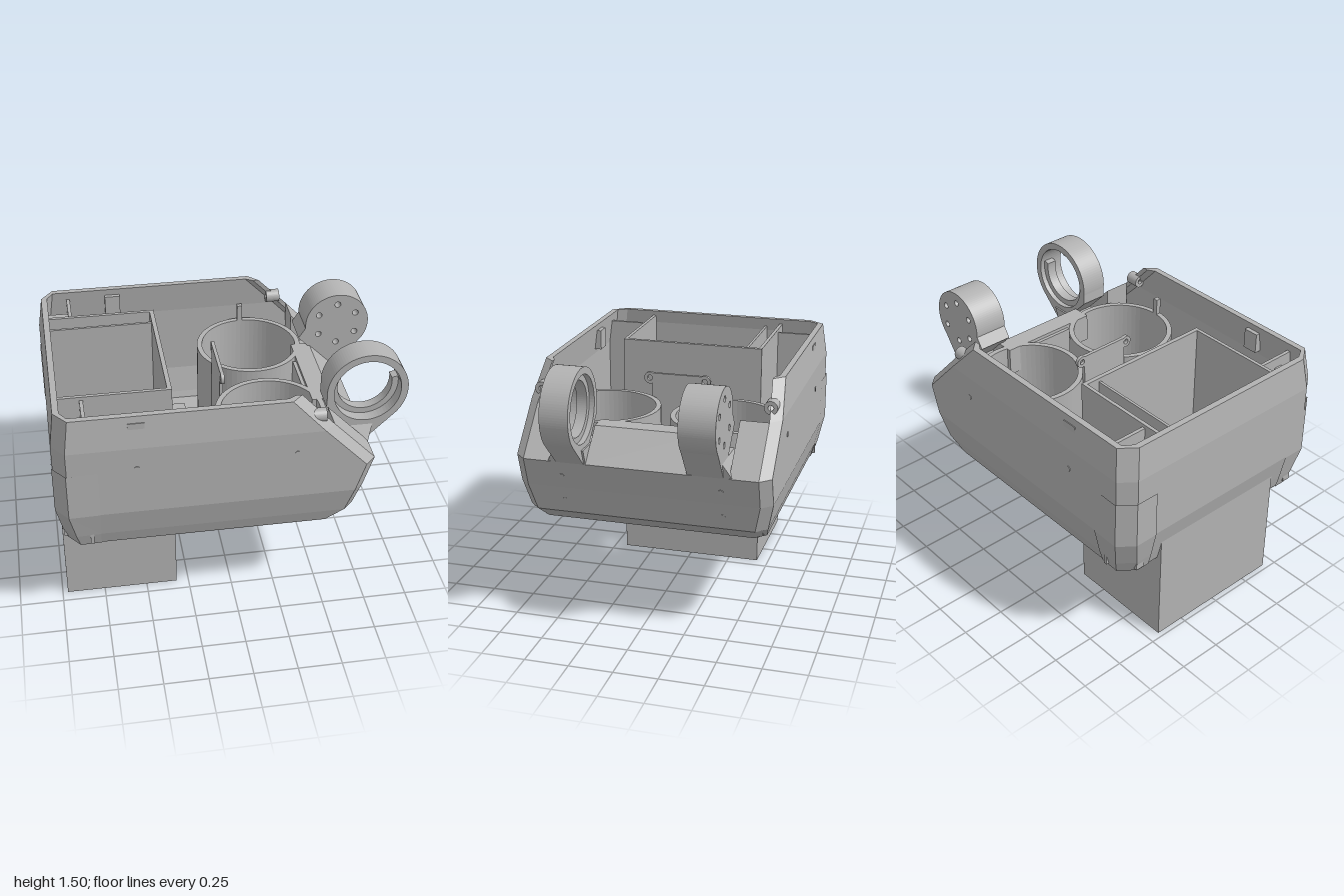
import * as THREE from 'three';

const grey = new THREE.MeshStandardMaterial({ color: 0xb2b2b2, side: THREE.DoubleSide });
grey.name = 'grey';

export function createModel() {
  const root = new THREE.Group();
  root.name = 'housing';

  const add = (name, geo, parent = root) => {
    const m = new THREE.Mesh(geo, grey);
    m.name = name;
    parent.add(m);
    return m;
  };
  // box given by its min and max corners
  const box = (name, x0, x1, y0, y1, z0, z1) =>
    add(name, new THREE.BoxGeometry(x1 - x0, y1 - y0, z1 - z0)
      .translate((x0 + x1) / 2, (y0 + y1) / 2, (z0 + z1) / 2));
  const poly = (pts) => new THREE.Shape(pts.map(([x, y]) => new THREE.Vector2(x, y)));
  const hole = (shape, x, y, r) => shape.holes.push(new THREE.Path().absarc(x, y, r, 0, Math.PI * 2, true));
  const extrude = (shape, depth) =>
    new THREE.ExtrudeGeometry(shape, { depth, bevelEnabled: false, curveSegments: 32 });
  // plan shape (x, z) standing between y0 and y1
  const slab = (name, shape, y0, y1) =>
    add(name, extrude(shape, y1 - y0).rotateX(Math.PI / 2).translate(0, y1, 0));
  // side profile (x, y) running from z0 to z1
  const profile = (name, shape, z0, z1) =>
    add(name, extrude(shape, z1 - z0).translate(0, 0, z0));
  const ringShape = (x, y, rOut, rIn) => {
    const s = new THREE.Shape().absarc(x, y, rOut, 0, Math.PI * 2);
    hole(s, x, y, rIn);
    return s;
  };
  const quadGeometry = (quads) => {
    const pos = [];
    for (const [a, b, c, d] of quads) pos.push(...a, ...b, ...c, ...a, ...c, ...d);
    const g = new THREE.BufferGeometry();
    g.setAttribute('position', new THREE.Float32BufferAttribute(pos, 3));
    g.computeVertexNormals();
    return g;
  };

  // Outer shell: chamfered rings [y, back x, front x, half width]
  const levels = [
    [0.56, -0.94, 0.57, 0.66], [0.64, -0.96, 0.67, 0.685], [0.8, -0.995, 0.715, 0.72],
    [0.97, -0.995, 0.77, 0.72], [1.22, -0.995, 0.53, 0.72], [1.41, -0.97, 0.35, 0.695],
  ];
  const ring = ([y, xb, xf, zh], t) => {
    const half = [[xf - t, zh - 0.06], [xf - 0.06 - t * 0.5, zh - t], [xb + 0.07, zh - t], [xb + t, zh - 0.09]];
    return [...half, ...half.map(([x, z]) => [x, -z]).reverse()].map(([x, z]) => [x, y, z]);
  };
  const shell = [];
  const outer = levels.map((l) => ring(l, 0)), inner = levels.map((l) => ring(l, 0.035));
  for (let k = 0; k < levels.length - 1; k++) {
    const open = k >= 3; // the front is open above the nose
    for (let i = 0; i < (open ? 7 : 8); i++) {
      const j = (i + 1) % 8;
      shell.push([outer[k][j], outer[k][i], outer[k + 1][i], outer[k + 1][j]]);
      shell.push([inner[k][i], inner[k][j], inner[k + 1][j], inner[k + 1][i]]);
    }
    if (open) {
      shell.push([outer[k][0], inner[k][0], inner[k + 1][0], outer[k + 1][0]]);
      shell.push([inner[k][7], outer[k][7], outer[k + 1][7], inner[k + 1][7]]);
    }
  }
  for (let i = 0; i < 7; i++) shell.push([outer[5][i], inner[5][i], inner[5][i + 1], outer[5][i + 1]].reverse());
  add('shell', quadGeometry(shell));

  // Floor with a notch for the deep box, and round openings
  const floor = poly([[0.56, -0.62], [0.56, 0.62], [0.51, 0.65], [-0.87, 0.65], [-0.93, 0.57], [-0.93, 0.42],
    [-0.33, 0.42], [-0.33, -0.42], [-0.93, -0.42], [-0.93, -0.57], [-0.87, -0.65], [0.51, -0.65]]);
  hole(floor, -0.18, 0, 0.14);
  for (const s of [1, -1]) {
    hole(floor, 0.24, 0.35 * s, 0.19);
    for (let i = 0; i < 6; i++) {
      const a = Math.PI / 6 + i * Math.PI / 3;
      hole(floor, 0.24 + 0.235 * Math.cos(a), 0.35 * s + 0.235 * Math.sin(a), 0.016);
    }
  }
  slab('floor', floor, 0.562, 0.6);

  // Deep box through the rear of the floor
  const base = poly([[-0.97, -0.43], [-0.32, -0.43], [-0.32, 0.43], [-0.97, 0.43]]);
  base.holes.push(poly([[-0.85, -0.4], [-0.85, -0.34], [-0.44, -0.34], [-0.44, -0.4]]));
  base.holes.push(poly([[-0.82, 0.17], [-0.82, 0.31], [-0.6, 0.31], [-0.57, 0.28], [-0.57, 0.2], [-0.6, 0.17]]));
  for (const x of [-0.93, -0.36]) for (const z of [-0.39, 0.39]) if (x < -0.9 || z > 0) hole(base, x, z, 0.015);
  slab('boxBase', base, 0.005, 0.03);
  box('boxFrontWall', -0.345, -0.32, 0.03, 1.38, -0.43, 0.43);
  box('boxRearWall', -0.97, -0.945, 0.03, 1.38, -0.43, 0.43);
  box('boxLeftWall', -0.96, -0.33, 0.03, 1.38, 0.41, 0.43);
  box('boxRightWall', -0.96, -0.33, 0.03, 1.38, -0.43, -0.41);
  box('boxDivider', -0.95, -0.34, 0.03, 1.36, -0.33, -0.315);

  // Nose: filled front, sloping cheeks and centre deck
  profile('noseBlock', poly([[0.53, 0.58], [0.56, 0.58], [0.65, 0.65], [0.76, 0.97], [0.53, 0.97]]), -0.65, 0.65);
  profile('noseDeck', poly([[0.49, 0.97], [0.77, 0.97], [0.6, 1.14], [0.49, 1.14]]), -0.3, 0.3);
  box('centreWeb', 0.47, 0.495, 0.58, 1.12, -0.14, 0.14);

  // Upright bracket between the cups and the box
  box('bracketWeb', -0.015, 0.005, 0.6, 1.28, -0.15, 0.15);

  for (const s of [1, -1]) {
    const side = (a, b) => [Math.min(a * s, b * s), Math.max(a * s, b * s)];
    profile('cheek', poly([[0.53, 0.97], [0.77, 0.97], [0.53, 1.22]]), ...side(0.5, 0.66));

    // Motor cup with a low lip round its opening
    slab('cup', ringShape(0.24, 0.35 * s, 0.31, 0.28), 0.58, 1.14);
    slab('cupLip', ringShape(0.24, 0.35 * s, 0.205, 0.19), 0.58, 0.63);
    box('cupTab', 0.22, 0.25, 1.1, 1.24, ...side(0.63, 0.66));

    box('floorPad', -0.32, -0.13, 0.59, 0.62, ...side(0.3, 0.54));
    box('cornerRib', -0.82, -0.8, 0.58, 1.36, ...side(0.42, 0.69));
    box('cornerLedge', -0.96, -0.81, 0.58, 1.3, ...side(0.55, 0.6));
    box('sideClip', -0.59, -0.5, 1.25, 1.37, ...side(0.64, 0.705));

    const ear = add('bracketEar', extrude(ringShape(0, 0, 0.035, 0.016), 0.02).rotateY(Math.PI / 2));
    ear.position.set(-0.015, 1.25, 0.165 * s);
    const boss = add('screwBoss', extrude(ringShape(0, 0, 0.038, 0.016), 0.08).rotateY(Math.PI / 2));
    boss.position.set(0.4, 1.285, 0.655 * s);

    // Rear corner guard, a thin skin wrapping the chamfer
    const guard = [];
    const rows = [[0.56, -0.946, 0.668], [0.64, -0.966, 0.692], [0.8, -1, 0.727], [1.08, -1, 0.727]]
      .map(([y, x, z]) => [[-0.76, z - 0.004], [x + 0.07, z], [x, z - 0.09], [x, 0.5]].map(([px, pz]) => [px, y, pz * s]));
    for (let k = 0; k < 3; k++) for (let i = 0; i < 3; i++) {
      const q = [rows[k][i], rows[k + 1][i], rows[k + 1][i + 1], rows[k][i + 1]];
      guard.push(s > 0 ? q : q.reverse());
    }
    add('cornerGuard', quadGeometry(guard));

    // Screw heads on the flanks and nose
    const dot = () => new THREE.CylinderGeometry(0.015, 0.015, 0.006, 16);
    for (const [x, y] of [[-0.55, 1.09], [0.32, 1.09]])
      add('sideScrew', dot().rotateX(Math.PI / 2)).position.set(x, y, 0.72 * s);
    for (const [x, y] of [[0.742, 0.88], [0.69, 0.72]])
      add('noseScrew', dot().rotateZ(-Math.PI / 2 - 0.29)).position.set(x, y, 0.45 * s);
  }

  // Arms: rounded head on a stem that rises from the sloping nose
  const cx = 0.76, cy = 1.28;
  const armShape = (r) => {
    const s = new THREE.Shape();
    s.moveTo(0.53, 1.2);
    s.lineTo(0.76, 0.96);
    s.lineTo(cx + r * Math.cos(-0.8), cy + r * Math.sin(-0.8));
    s.absarc(cx, cy, r, -0.8, Math.PI * 1.03, false);
    s.closePath();
    return s;
  };
  const open = armShape(0.23);
  hole(open, cx, cy, 0.19);
  profile('leftArm', open, 0.31, 0.47);
  // inner lip of the open arm, broken at the upper front
  const lip = new THREE.Shape();
  lip.absarc(cx, cy, 0.2, Math.PI / 2, Math.PI * 2 + 0.2, false);
  lip.absarc(cx, cy, 0.155, Math.PI * 2 + 0.2, Math.PI / 2, true);
  profile('leftArmLip', lip, 0.34, 0.4);

  const solid = armShape(0.19);
  for (let i = 0; i < 6; i++) {
    const a = Math.PI / 6 + i * Math.PI / 3;
    hole(solid, cx + 0.127 * Math.cos(a), cy + 0.127 * Math.sin(a), 0.018);
  }
  profile('rightArm', solid, -0.47, -0.27);

  // flared feet under both stems
  for (const s of [1, -1]) {
    const foot = (y, w, x0, x1) => [[x0, y, 0.3 * s], [x1, y, 0.3 * s], [x1, y, w * s], [x0, y, w * s]];
    const a = foot(0.965, 0.52, 0.53, 0.765), b = foot(1.06, 0.47, 0.53, 0.8), quads = [b];
    for (let i = 0; i < 4; i++) quads.push([a[i], a[(i + 1) % 4], b[(i + 1) % 4], b[i]]);
    add('armFoot', quadGeometry(s > 0 ? quads.map((q) => q.slice().reverse()) : quads));
  }
  return root;
}
